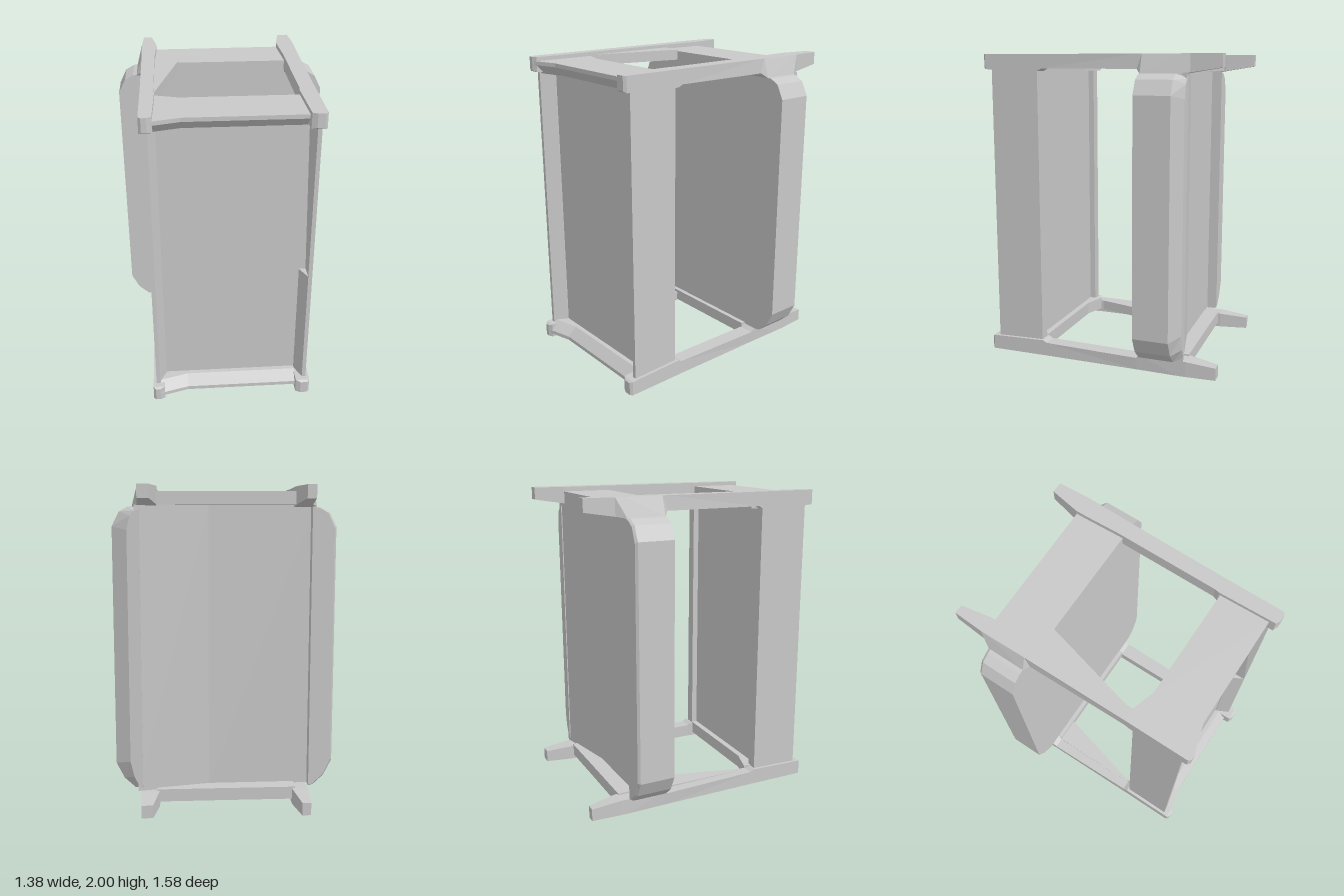
import * as THREE from 'three';

const grey = new THREE.MeshStandardMaterial({ color: 0xc8c8c8, flatShading: true });
grey.name = 'plain grey';

// Closed solid through matching rings of [x, y, z] points, with capped ends.
function loft(name, rings, map = (p) => p) {
  const tris = [];
  const pts = rings.map((r) => r.map((p) => map(p)));
  const n = pts[0].length;
  for (let i = 0; i + 1 < pts.length; i++) {
    for (let j = 0; j < n; j++) {
      const k = (j + 1) % n;
      const a = pts[i][j], b = pts[i][k], c = pts[i + 1][k], d = pts[i + 1][j];
      tris.push([a, b, c], [a, c, d]);
    }
  }
  const cap = (ring, flip) => {
    const axis = rings[0].every((p) => p[1] === rings[0][0][1]) ? [0, 2] : [0, 1];
    const flat = ring.map((p) => new THREE.Vector2(p[axis[0]], p[axis[1]]));
    const ccw = !THREE.ShapeUtils.isClockWise(flat);
    for (const [a, b, c] of THREE.ShapeUtils.triangulateShape(flat, [])) {
      const t = [ring[a], ring[b], ring[c]];
      const u = flat[b].clone().sub(flat[a]), v = flat[c].clone().sub(flat[a]);
      const same = (u.cross(v) > 0) === ccw;
      tris.push(same === flip ? [t[0], t[2], t[1]] : t);
    }
  };
  cap(pts[0], true);
  cap(pts[pts.length - 1], false);
  // Turn every face outward when the solid came out inside out
  let volume = 0;
  const v = (p) => new THREE.Vector3(...p);
  for (const [a, b, c] of tris) volume += v(a).dot(v(b).cross(v(c)));
  const out = tris.map(([a, b, c]) => (volume < 0 ? [a, c, b] : [a, b, c]));
  const geo = new THREE.BufferGeometry();
  geo.setAttribute('position', new THREE.Float32BufferAttribute(out.flat(2), 3));
  geo.computeVertexNormals();
  const mesh = new THREE.Mesh(geo, grey);
  mesh.name = name;
  return mesh;
}

// Horizontal plate from an [x, z] outline, with an optional separate lower outline
const plate = (name, y0, y1, top, map, low = top) => loft(name, [
  low.map(([x, z]) => [x, y0, z]),
  top.map(([x, z]) => [x, y1, z]),
], map);

// One end frame: two long rails, two cross bars and a corner gusset
function endFrame(name, map, flare, drop) {
  const frame = new THREE.Group();
  frame.name = name;
  // Rail stations: z, inner x, outer x at the face, outer x at the panel side, panel-side y
  const rail = [
    [0.785, 0.46, 0.505, 0.505, 1.915], [0.77, 0.43, 0.52, 0.52, 1.905],
    [0.4, 0.42, 0.52, 0.52, 1.895], [0.37, 0.425, 0.52, 0.52, 1.91],
    [-0.27, 0.425, 0.525, 0.53, 1.92 - drop / 2], [-0.3, 0.425, 0.525, 0.52 + flare, 1.9 - drop],
    [-0.54, 0.415, 0.53, 0.52 + flare, 1.9 - drop], [-0.6, 0.415, 0.53, 0.53, 1.9 - drop / 2],
    [-0.79, 0.45, 0.52, 0.52, 1.92],
  ];
  for (const s of [-1, 1]) {
    const shift = s < 0 ? 0.015 : 0;
    frame.add(loft(s < 0 ? 'rightRail' : 'leftRail', rail.map(([z, a, face, b, y]) => [
      [s * (a + shift), y, z], [s * b, y, z], [s * face, 2, z], [s * (a + shift), 2, z],
    ]), map));
  }
  // Front bar with an undercut front face
  const frontBar = [[-0.47, 0.78], [-0.29, 0.73], [0.43, 0.73], [0.43, 0.41], [-0.29, 0.41], [-0.45, 0.36]];
  const undercut = frontBar.map(([x, z]) => [x, z > 0.6 ? z - 0.06 : z]);
  frame.add(plate('frontBar', 1.89, 1.95, frontBar, map, undercut));
  frame.add(plate('frontBarFace', 1.95, 1.975, frontBar, map));
  frame.add(plate('rearBar', 1.89, 1.97,
    [[-0.45, -0.585], [0.05, -0.59], [0.43, -0.595], [0.43, -0.27], [-0.45, -0.27]], map));
  frame.add(plate('cornerGusset', 1.91, 1.98,
    [[-0.46, -0.29], [-0.285, -0.27], [-0.445, 0.36], [-0.46, 0.36]], map));
  return frame;
}

export function createModel() {
  const model = new THREE.Group();

  model.add(endFrame('topFrame', (p) => p, 0.045, 0.02));
  model.add(endFrame('bottomFrame', ([x, y, z]) => [x, 2 - y, z], 0.01, 0));

  // Front panel set between two upright flanges; the upper left flange has a thinner lip
  model.add(plate('frontPanel', 0.06, 1.93, [[-0.47, 0.64], [0.48, 0.64], [0.48, 0.45], [-0.47, 0.45]]));
  const flange = (name, s, y0, y1, in0, in1) => loft(name, [[y0, in0], [y1, in1]].map(([y, t]) => [
    [s * 0.5, y, 0.41], [s * 0.5, y, 0.735], [s * 0.475, y, 0.735], [s * t, y, 0.645],
    [s * 0.43, y, 0.55], [s * 0.43, y, 0.41],
  ]));
  model.add(flange('rightFlange', -1, 0.08, 1.92, 0.431, 0.431));
  model.add(flange('leftFlangeLower', 1, 0.08, 0.9, 0.431, 0.431));
  model.add(flange('leftFlangeUpper', 1, 0.9, 1.92, 0.474, 0.445));

  // Rear panel, thickening towards the left post
  model.add(plate('rearPanel', 0.1, 1.89,
    [[-0.56, -0.3], [0.55, -0.3], [0.55, -0.588], [0.1, -0.49], [-0.56, -0.475]]));

  // Wide rear posts with cut corners: [z, width scale, height scale] for each layer
  const rearPost = (name, s, inner, layers) => {
    const outline = [[inner, 0.1], [0.57, 0.105], [0.64, 0.17], [0.69, 0.27],
      [0.69, 1.76], [0.645, 1.85], [0.59, 1.88], [inner, 1.89]];
    return loft(name, layers.map(([z, kx, ky]) =>
      outline.map(([x, y]) => [s * (inner + (x - inner) * kx), 1 + (y - 1) * ky, z])));
  };
  model.add(rearPost('rightRearPost', -1, 0.54, [[-0.3, 1, 1], [-0.53, 1, 1], [-0.545, 0.92, 0.99]]));
  model.add(rearPost('leftRearPost', 1, 0.52, [[-0.3, 1, 1], [-0.53, 1, 1], [-0.588, 0.45, 0.97]]));
  return model;
}
